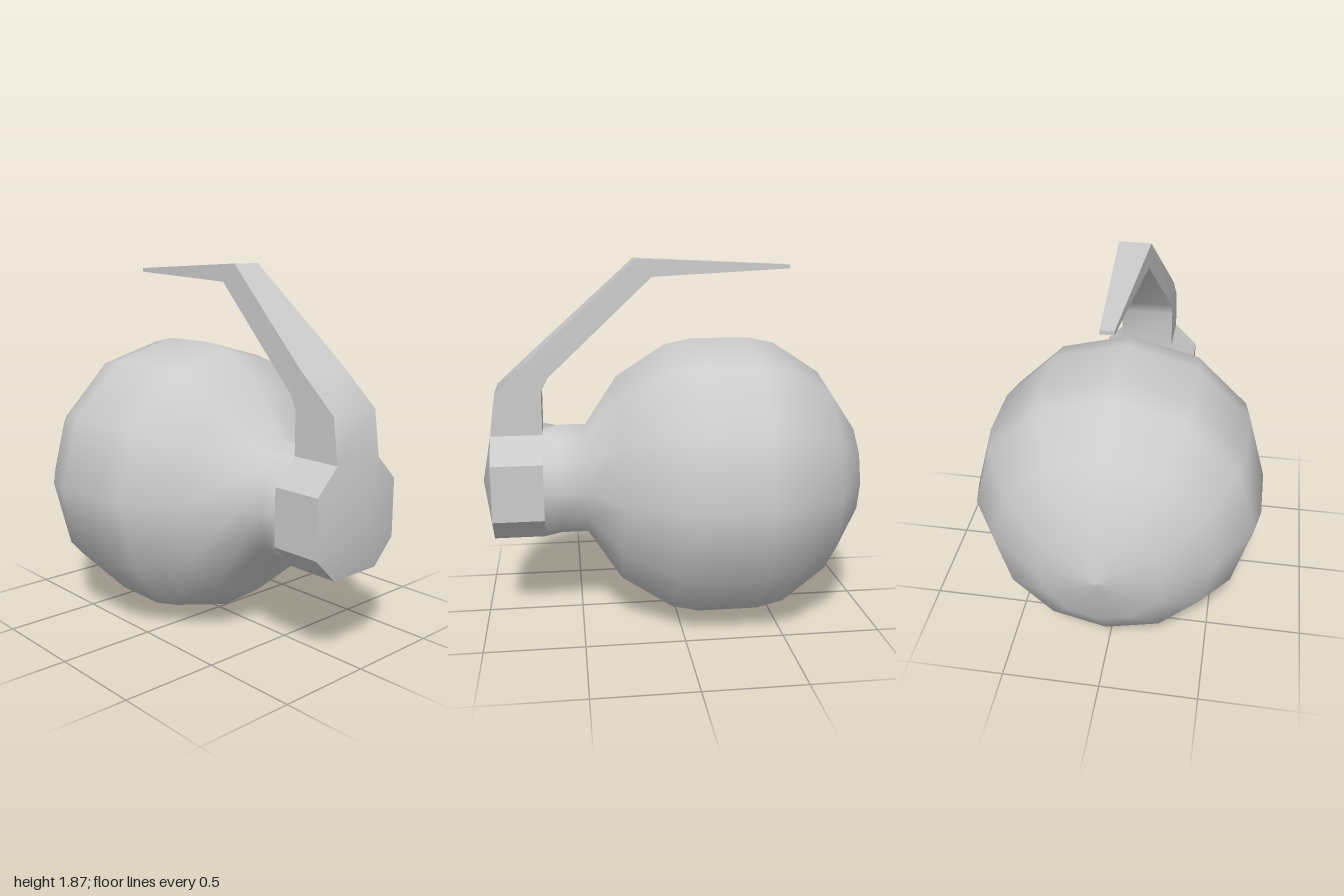
import * as THREE from 'three';
import { toCreasedNormals } from 'three/addons/utils/BufferGeometryUtils.js';

const CY = 0.73; // height of the body axis
const material = new THREE.MeshStandardMaterial({ color: 0xcccccc });

// Skins a row of equal-length rings; each end is fanned to its given centre.
function loft(rings, startCentre, endCentre) {
  const pos = [];
  const tri = (...pts) => pts.forEach((p) => pos.push(...p));
  const n = rings[0].length;
  for (let i = 0; i < n; i++) {
    const j = (i + 1) % n;
    for (let r = 0; r < rings.length - 1; r++) {
      const a = rings[r], b = rings[r + 1];
      tri(a[i], a[j], b[j]);
      tri(a[i], b[j], b[i]);
    }
    const first = rings[0], last = rings[rings.length - 1];
    if (startCentre) tri(first[j], first[i], startCentre);
    if (endCentre) tri(last[i], last[j], endCentre);
  }
  const geo = new THREE.BufferGeometry();
  geo.setAttribute('position', new THREE.Float32BufferAttribute(pos, 3));
  return toCreasedNormals(geo, 0.75);
}

function addMesh(group, name, geometry) {
  const mesh = new THREE.Mesh(geometry, material);
  mesh.name = name;
  group.add(mesh);
}

// Round body and neck, turned about the z axis with 12 sides
function bodyGeometry() {
  const profile = [
    [0, -1], [0.295, -0.94], [0.54, -0.775], [0.7, -0.53], [0.73, -0.39],
    [0.73, -0.09], [0.7, 0.05], [0.54, 0.3], [0.29, 0.465], [0.29, 0.6], [0.27, 0.685],
  ].map(([r, z]) => new THREE.Vector2(r, z));
  const geo = new THREE.LatheGeometry(profile, 12);

  // Blend the last neck ring into the octagon of the cap
  const pos = geo.attributes.position;
  for (let i = 0; i <= 12; i++) {
    if (i % 3 === 0) continue;
    const k = i * profile.length + profile.length - 1;
    const a = (i % 3 === 1 ? 28.2 : 61.8) + Math.floor(i / 3) * 90;
    const t = THREE.MathUtils.degToRad(a);
    pos.setXYZ(k, 0.306 * Math.sin(t), 0.685, 0.306 * Math.cos(t));
  }
  return geo.rotateX(Math.PI / 2).translate(0, CY, 0);
}

// Octagonal cap with a shallow pointed front
function capGeometry() {
  const a = 0.145, b = 0.27;
  const outline = [[b, -a], [b, a], [a, b], [-a, b], [-b, a], [-b, -a], [-a, -b], [a, -b]];
  const ring = (z) => outline.map(([x, y]) => [x, CY + y, z]);
  return loft([ring(0.685), ring(0.945)], [0, CY, 0.685], [0, CY, 1]);
}

// Bent, tapering lever: outer z, y; inner z, y; half width
function leverGeometry() {
  const rings = [
    [0.945, 1.0, 0.685, 1.0, 0.145],
    [0.915, 1.22, 0.685, 1.22, 0.145],
    [0.71, 1.406, 0.65, 1.29, 0.145],
    [0.2, 1.87, 0.118, 1.78, 0.08],
    [-0.6, 1.835, -0.6, 1.815, 0.032],
  ].map(([zo, yo, zi, yi, w]) => [[w, yo, zo], [w, yi, zi], [-w, yi, zi], [-w, yo, zo]]);
  return loft(rings, null, [0, 1.825, -0.6]);
}

export function createModel() {
  const group = new THREE.Group();
  group.name = 'grenade';
  addMesh(group, 'body', bodyGeometry());
  addMesh(group, 'cap', capGeometry());
  addMesh(group, 'lever', leverGeometry());
  return group;
}
